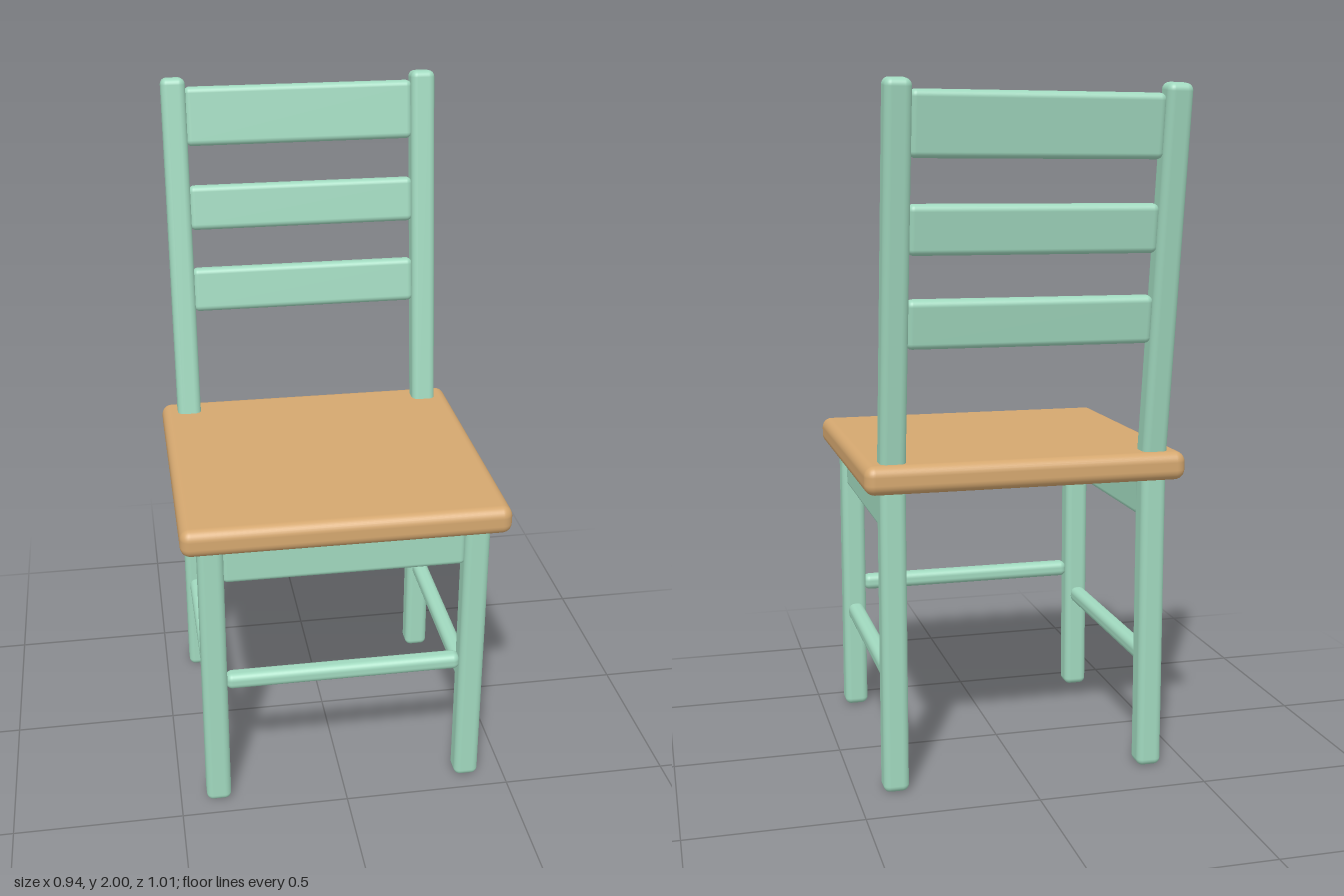
import * as THREE from 'three';
import { RoundedBoxGeometry } from 'three/addons/geometries/RoundedBoxGeometry.js';

export function createModel() {
  const chair = new THREE.Group();
  chair.name = 'chair';

  const paint = new THREE.MeshStandardMaterial({ color: 0xa0d8be });
  paint.name = 'mint paint';
  const wood = new THREE.MeshStandardMaterial({ color: 0xd4a76f });
  wood.name = 'tan wood';

  // Softly rounded bar centred at (x, y, z)
  function bar(parent, name, size, position, radius, material = paint) {
    const mesh = new THREE.Mesh(new RoundedBoxGeometry(...size, 4, radius), material);
    mesh.name = name;
    mesh.position.set(...position);
    parent.add(mesh);
    return mesh;
  }

  const legX = 0.385, frontZ = 0.412, backZ = -0.318, legWidth = 0.074;
  const midZ = (frontZ + backZ) / 2, sideLength = frontZ - backZ - legWidth + 0.008;
  const span = 2 * legX - legWidth + 0.008;

  // Seat board
  bar(chair, 'seat', [0.94, 0.083, 0.895], [0, 0.922, 0.056], 0.03, wood);

  // Legs, side aprons and side stretchers
  for (const [side, s] of [['left', 1], ['right', -1]]) {
    bar(chair, side + 'FrontLeg', [legWidth, 0.9, legWidth], [s * legX, 0.45, frontZ], 0.02);
    bar(chair, side + 'BackLeg', [legWidth, 0.9, legWidth], [s * legX, 0.45, backZ], 0.02);
    bar(chair, side + 'Apron', [0.045, 0.14, sideLength], [s * legX, 0.825, midZ], 0.015);
    bar(chair, side + 'Stretcher', [0.05, 0.05, sideLength], [s * legX, 0.33, midZ], 0.02);
  }

  // Front apron and stretcher; the back is open
  bar(chair, 'frontApron', [span, 0.14, 0.045], [0, 0.825, frontZ], 0.015);
  bar(chair, 'frontStretcher', [span, 0.05, 0.05], [0, 0.415, frontZ], 0.02);

  // Backrest leans back from a pivot inside the seat
  const lean = 0.14, pivotY = 0.92;
  const backrest = new THREE.Group();
  backrest.name = 'backrest';
  backrest.position.set(0, pivotY, -0.317);
  backrest.rotation.x = -lean;
  chair.add(backrest);

  const postLength = (1.997 - pivotY) / Math.cos(lean);
  for (const [side, s] of [['left', 1], ['right', -1]]) {
    bar(backrest, side + 'Post', [legWidth, postLength, legWidth], [s * legX, postLength / 2, 0], 0.02);
  }

  // Slats given by lower and upper height
  const slats = [['lowerSlat', 1.283, 1.42], ['middleSlat', 1.538, 1.675], ['topSlat', 1.793, 1.97]];
  for (const [name, low, high] of slats) {
    const centre = ((low + high) / 2 - pivotY) / Math.cos(lean);
    bar(backrest, name, [span, high - low, 0.046], [0, centre, 0], 0.018);
  }

  return chair;
}
